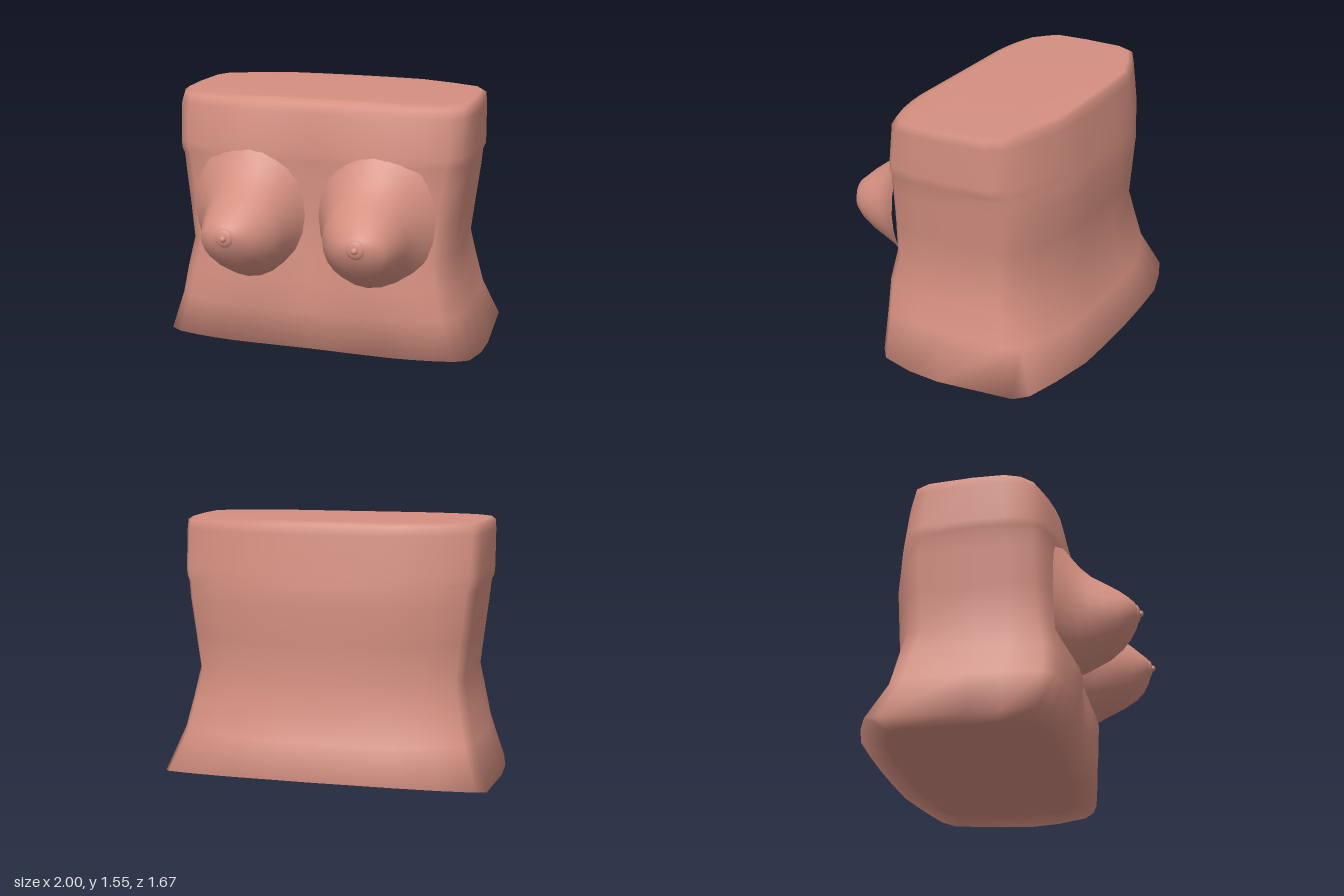
import * as THREE from 'three';

const clay = new THREE.MeshStandardMaterial({ color: 0xd48f80 });
clay.name = 'clay';

function meshFrom(points, index, name) {
  const g = new THREE.BufferGeometry();
  g.setAttribute('position', new THREE.Float32BufferAttribute(points.flat(), 3));
  g.setIndex(index);
  g.computeVertexNormals();
  const m = new THREE.Mesh(g, clay);
  m.name = name;
  return m;
}

// Quads between successive closed rings of n points
function loftIndex(rows, n) {
  const index = [];
  for (let r = 0; r < rows - 1; r++) {
    for (let i = 0; i < n; i++) {
      const j = (i + 1) % n;
      const a = r * n + i, b = r * n + j, c = b + n, d = a + n;
      index.push(a, b, c, a, c, d);
    }
  }
  return index;
}

// Cap a left-right symmetric ring with strips running across it
function capIndex(start, n, up) {
  const index = [];
  const tri = (a, b, c) => {
    if (up) index.push(a, b, c);
    else index.push(a, c, b);
  };
  for (let i = 0; i < n / 2; i++) {
    const r0 = start + i, r1 = start + i + 1;
    const l0 = start + (n - i) % n, l1 = start + n - i - 1;
    if (l0 !== r0) tri(l0, r0, r1);
    if (l1 !== r1) tri(l0, r1, l1);
  }
  return index;
}

// Horizontal outline: grooved front, rounded corners, bowed back
function outline(w, f, b, groove) {
  const half = [
    [0, f - groove], [0.1, f - groove * 0.85], [0.22, f - groove * 0.35], [0.36, f],
    [0.5, f], [0.62, f - 0.01 - groove * 0.3], [0.75, f - 0.03 - groove * 0.6],
    [0.88, f - 0.065 - groove * 0.6], [0.96, f - 0.13 - groove * 0.5], [0.995, 0.1], [1, -0.1],
    [0.98, b + 0.25], [0.93, b + 0.165], [0.74, b + 0.09],
    [0.5, b + 0.02], [0.25, b + 0.005], [0, b],
  ].map(([x, z]) => [x * w, z]);
  const mirror = half.slice(1, -1).reverse().map(([x, z]) => [-x, z]);
  return half.concat(mirror);
}

// Underside height: an arch from side to side, rising at the front and back
function baseHeight(x, z) {
  const edge = z > 0 ? 0.09 * z : Math.max(0, (-z - 0.47) * 0.22);
  const arch = 0.053 - 0.036 * z;
  const fade = Math.min(1, Math.max(0, (0.98 - Math.abs(x)) / 0.5));
  return Math.max(edge, arch * fade);
}

function torso() {
  // height, half width, front, back, depth of the middle groove
  const sections = [
    [0, 1.0, 0.42, -0.84, 0.005], [0.28, 0.905, 0.445, -0.73, 0.025],
    [0.46, 0.865, 0.455, -0.69, 0.045], [0.64, 0.83, 0.42, -0.65, 0.045],
    [0.85, 0.855, 0.41, -0.66, 0.045], [1.07, 0.882, 0.4, -0.67, 0.035],
    [1.17, 0.893, 0.395, -0.66, 0.03], [1.2, 0.908, 0.395, -0.656, 0.025],
    [1.25, 0.912, 0.39, -0.65, 0.02], [1.48, 0.914, 0.355, -0.62, 0.005],
    [1.535, 0.91, 0.315, -0.61, 0], [1.553, 0.885, 0.265, -0.59, 0],
  ];
  const rings = sections.map(([y, w, f, b, g]) =>
    outline(w, f, b, g).map(([x, z]) => [x, y === 0 ? baseHeight(x, z) : y, z]));
  // Arched underside, as inset copies of the hem
  const hem = rings[0];
  for (const s of [0.8, 0.6, 0.4, 0.2]) {
    rings.unshift(hem.map(([x, , z]) => {
      const zs = -0.2 + (z + 0.2) * s;
      return [x * s, baseHeight(x * s, zs), zs];
    }));
  }
  const n = hem.length;
  const index = loftIndex(rings.length, n)
    .concat(capIndex(0, n, false), capIndex((rings.length - 1) * n, n, true));
  return meshFrom(rings.flat(), index, 'torsoBody');
}

// Tapering chest form, flared into the torso at its root
function chestForm(side) {
  // z, inner x, outer x, lower y, upper y
  const rings = [
    [0.35, 0.03, 0.75, 0.44, 1.31], [0.41, 0.07, 0.695, 0.465, 1.22],
    [0.47, 0.095, 0.65, 0.485, 1.14], [0.54, 0.12, 0.625, 0.52, 1.07],
    [0.62, 0.145, 0.605, 0.56, 1.015], [0.7, 0.205, 0.575, 0.615, 0.955],
    [0.75, 0.255, 0.545, 0.67, 0.91], [0.785, 0.305, 0.49, 0.73, 0.88],
    [0.803, 0.355, 0.435, 0.78, 0.85], [0.806, 0.394, 0.396, 0.814, 0.816],
  ];
  const n = 24;
  const points = [];
  for (const [z, x0, x1, y0, y1] of rings) {
    for (let i = 0; i < n; i++) {
      const t = (i / n) * Math.PI * 2;
      points.push([
        side * (x0 + x1) / 2 + Math.cos(t) * (x1 - x0) / 2,
        (y0 + y1) / 2 + Math.sin(t) * (y1 - y0) / 2,
        z,
      ]);
    }
  }
  const form = meshFrom(points, loftIndex(rings.length, n), 'chestForm');

  // Small raised disc and bud at the tip
  const disc = new THREE.Mesh(new THREE.SphereGeometry(0.055, 20, 12), clay);
  disc.name = 'tipDisc';
  disc.scale.z = 0.4;
  disc.position.set(side * 0.393, 0.815, 0.793);
  const bud = new THREE.Mesh(new THREE.SphereGeometry(0.02, 14, 10), clay);
  bud.name = 'tipBud';
  bud.position.set(side * 0.393, 0.815, 0.814);
  const group = new THREE.Group();
  group.name = side > 0 ? 'leftChest' : 'rightChest';
  group.add(form, disc, bud);
  return group;
}

export function createModel() {
  const model = new THREE.Group();
  model.name = 'torsoStudy';
  model.add(torso(), chestForm(1), chestForm(-1));
  return model;
}
